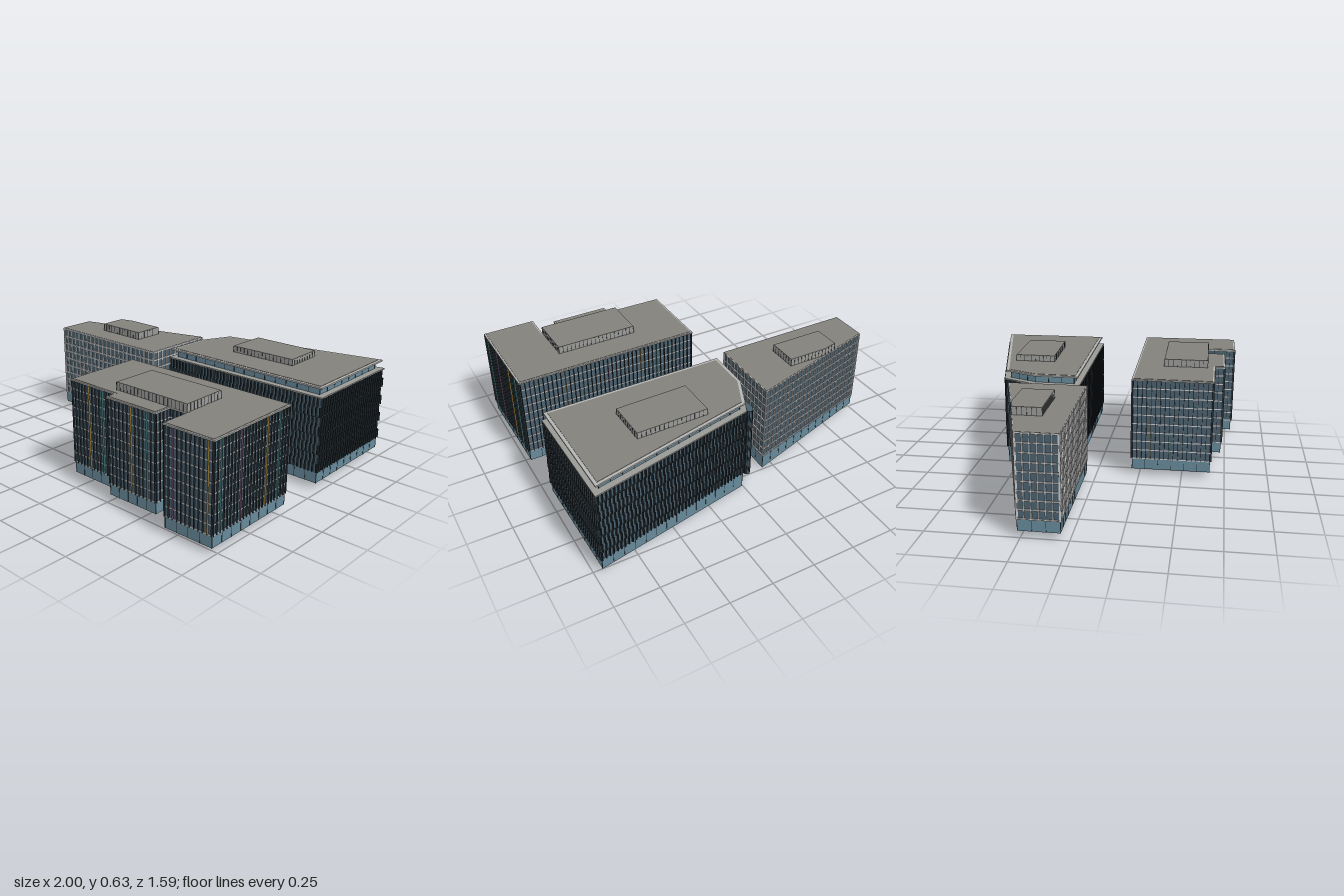
import * as THREE from 'three';
import { mergeGeometries } from 'three/addons/utils/BufferGeometryUtils.js';

const mat = (color) => new THREE.MeshStandardMaterial({ color, side: THREE.DoubleSide });
const M = {
  glass: mat(0x4a606e), base: mat(0x67899a), roof: mat(0x83817c), rim: mat(0xb4b4b2),
  white: mat(0xcfd0cc), dark: mat(0x262e33), orange: mat(0xa8843c), teal: mat(0x3f7d7a),
  plum: mat(0x6d4a6a), plant: mat(0x9a9a97),
};

function add(group, name, geometry, material) {
  const mesh = new THREE.Mesh(geometry, material);
  mesh.name = name;
  group.add(mesh);
}

// Plans are [x, z] corners, front edge running towards +x
function edges(plan) {
  return plan.map((a, i) => {
    const b = plan[(i + 1) % plan.length];
    const dx = b[0] - a[0], dz = b[1] - a[1], len = Math.hypot(dx, dz);
    return { a, b, len, ux: dx / len, uz: dz / len };
  });
}

// Plan moved inwards by d with mitred corners
function inset(plan, d) {
  const e = edges(plan);
  return plan.map((p, i) => {
    const m = e[(i + plan.length - 1) % plan.length], n = e[i];
    const k = -d / (1 + m.ux * n.ux + m.uz * n.uz);
    return [p[0] + k * (-m.uz - n.uz), p[1] + k * (m.ux + n.ux)];
  });
}

// Open ring of walls; bottoms gives a height for each corner
function walls(plan, bottoms, top) {
  const pos = [], n = plan.length;
  const y0 = (i) => (Array.isArray(bottoms) ? bottoms[i] : bottoms);
  plan.forEach((a, i) => {
    const j = (i + 1) % n, b = plan[j];
    const A = [a[0], y0(i), a[1]], B = [b[0], y0(j), b[1]];
    const C = [b[0], top, b[1]], D = [a[0], top, a[1]];
    pos.push(...A, ...B, ...C, ...A, ...C, ...D);
  });
  const g = new THREE.BufferGeometry();
  g.setAttribute('position', new THREE.Float32BufferAttribute(pos, 3));
  g.computeVertexNormals();
  return g;
}

function slab(plan, y, depth) {
  const shape = new THREE.Shape(plan.map(([x, z]) => new THREE.Vector2(x, -z)));
  const g = new THREE.ExtrudeGeometry(shape, { depth, bevelEnabled: false });
  return g.rotateX(-Math.PI / 2).translate(0, y, 0);
}

// Box on a wall edge, s along it, from y0 to y1
function bar(e, s, w, y0, y1, d, out = 0) {
  return new THREE.BoxGeometry(w, y1 - y0, d)
    .translate(0, 0, out)
    .rotateY(-Math.atan2(e.uz, e.ux))
    .translate(e.a[0] + e.ux * s, (y0 + y1) / 2, e.a[1] + e.uz * s);
}

// Evenly spaced uprights on every edge
function uprights(plan, pitch, w, y0, y1, d, out = 0, shift = 0) {
  return edges(plan).flatMap((e) => {
    const n = Math.max(1, Math.round(e.len / pitch)), list = [];
    for (let i = 0; i + shift <= n; i++) list.push(bar(e, ((i + shift) / n) * e.len, w, y0, y1, d, out));
    return list;
  });
}

const band = (plan, y, h, d) => edges(plan).map((e) => bar(e, e.len / 2, e.len + d * 0.8, y - h / 2, y + h / 2, d));

// Rooftop plant room with panel joints
function plantRoom(group, plan, y0, y1) {
  add(group, 'plantRoomWalls', walls(plan, y0, y1 - 0.003), M.plant);
  add(group, 'plantRoomRoof', slab(plan, y1 - 0.003, 0.003), M.roof);
  add(group, 'plantRoomJoints', mergeGeometries(uprights(plan, 0.025, 0.002, y0, y1 - 0.003, 0.003)), M.dark);
}

// Glazed ground floor following the sloping ground
function groundFloor(group, plan, bottoms, top) {
  add(group, 'groundFloorGlass', walls(plan, bottoms, top), M.base);
  const low = Math.max(...bottoms);
  add(group, 'groundFloorMullions', mergeGeometries(uprights(plan, 0.07, 0.002, low, top, 0.003)), M.dark);
}

function gridBuilding() {
  const g = new THREE.Group();
  g.name = 'gridBuilding';
  const outer = [[-1, -0.04], [-0.17, -0.045], [-0.17, -0.505], [-1, -0.27]];
  const plan = inset(outer, 0.006);
  groundFloor(g, plan, [0.035, 0.025, 0.01, 0.035], 0.1);
  add(g, 'glassWalls', walls(plan, 0.1, 0.55), M.glass);
  // White frame of uprights and floor bands
  const frame = uprights(plan, 0.038, 0.007, 0.1, 0.553, 0.012);
  for (let i = 0; i <= 9; i++) frame.push(...band(plan, 0.102 + i * 0.05, 0.007, 0.012));
  add(g, 'whiteFrame', mergeGeometries(frame), M.white);
  add(g, 'roof', slab(inset(outer, 0.004), 0.55, 0.007), M.roof);
  plantRoom(g, [[-0.75, -0.18], [-0.43, -0.18], [-0.43, -0.36], [-0.67, -0.36], [-0.75, -0.34]], 0.556, 0.602);
  return g;
}

function finBuilding() {
  const g = new THREE.Group();
  g.name = 'finBuilding';
  const outer = [[-0.1, -0.1], [0.98, -0.11], [0.97, -0.795], [-0.005, -0.575], [-0.095, -0.38]];
  const plan = inset(outer, 0.012);
  groundFloor(g, plan, [0.03, 0.035, 0.035, 0, 0.012], 0.1);
  add(g, 'glassWalls', walls(plan, 0.1, 0.525), M.glass);
  // Vertical fins, shifted half a bay on every other floor
  const fins = [], h = 0.425 / 8;
  for (let i = 0; i < 8; i++) {
    fins.push(...uprights(plan, 0.024, 0.005, 0.1 + i * h, 0.1 + (i + 1) * h, 0.012, 0.005, i % 2 ? 0.25 : 0));
  }
  add(g, 'facadeFins', mergeGeometries(fins), M.dark);
  const floors = [];
  for (let i = 0; i <= 8; i++) floors.push(...band(plan, 0.1 + i * h, 0.003, 0.004));
  add(g, 'floorLines', mergeGeometries(floors), M.base);
  // Terrace, set-back top floor and overhanging roof
  add(g, 'terrace', slab(inset(outer, 0.004), 0.523, 0.008), M.plant);
  const top = inset(outer, 0.042);
  add(g, 'topFloorGlass', walls(top, 0.53, 0.573), M.base);
  add(g, 'topFloorMullions', mergeGeometries(uprights(top, 0.07, 0.003, 0.53, 0.573, 0.004)), M.dark);
  add(g, 'roofEdge', slab(inset(outer, 0.014), 0.572, 0.009), M.rim);
  add(g, 'roof', slab(inset(outer, 0.032), 0.58, 0.003), M.roof);
  plantRoom(g, [[0.23, -0.315], [0.64, -0.325], [0.635, -0.56], [0.23, -0.555]], 0.582, 0.62);
  // Oval stair tower beside the chamfered corner
  const tower = new THREE.CylinderGeometry(1, 1, 0.45, 20).scale(0.028, 1, 0.05).translate(-0.072, 0.24, -0.46);
  add(g, 'stairTower', tower, M.glass);
  const ribs = [];
  for (let i = 0; i < 20; i++) {
    const t = (i / 20) * Math.PI * 2;
    ribs.push(new THREE.BoxGeometry(0.003, 0.45, 0.003)
      .translate(-0.072 + 0.028 * Math.sin(t), 0.24, -0.46 + 0.05 * Math.cos(t)));
  }
  add(g, 'stairTowerRibs', mergeGeometries(ribs), M.dark);
  return g;
}

function bandBuilding() {
  const g = new THREE.Group();
  g.name = 'bandBuilding';
  const outer = [[-0.1, 0.67], [0.24, 0.67], [0.24, 0.73], [0.58, 0.725], [0.58, 0.62], [0.69, 0.62],
    [0.69, 0.793], [0.998, 0.788], [0.99, 0.187], [-0.1, 0.2]];
  const plan = inset(outer, 0.008);
  groundFloor(g, plan, outer.map(() => 0.035), 0.1);
  add(g, 'glassWalls', walls(plan, 0.1, 0.577), M.glass);
  const floors = [];
  for (let i = 0; i <= 8; i++) floors.push(...band(plan, 0.101 + i * 0.0535, 0.006, 0.004));
  add(g, 'floorBands', mergeGeometries(floors), M.white);
  // Thin blades, mostly dark with a scattering of colours
  const sets = { dark: [], orange: [], teal: [], plum: [] };
  const accents = { 5: 'orange', 9: 'teal', 15: 'plum' };
  uprights(plan, 0.026, 0.002, 0.1, 0.577, 0.014, 0.003).forEach((b, i) => sets[accents[i % 18] || 'dark'].push(b));
  for (const [k, list] of Object.entries(sets)) add(g, k + 'Blades', mergeGeometries(list), M[k]);
  add(g, 'roofEdge', slab(outer, 0.576, 0.008), M.rim);
  add(g, 'roof', slab(inset(outer, 0.01), 0.583, 0.003), M.roof);
  plantRoom(g, [[0.21, 0.625], [0.69, 0.62], [0.685, 0.36], [0.21, 0.365]], 0.585, 0.63);
  return g;
}

export function createModel() {
  const model = new THREE.Group();
  model.name = 'officeBlocks';
  model.add(gridBuilding(), finBuilding(), bandBuilding());
  return model;
}
